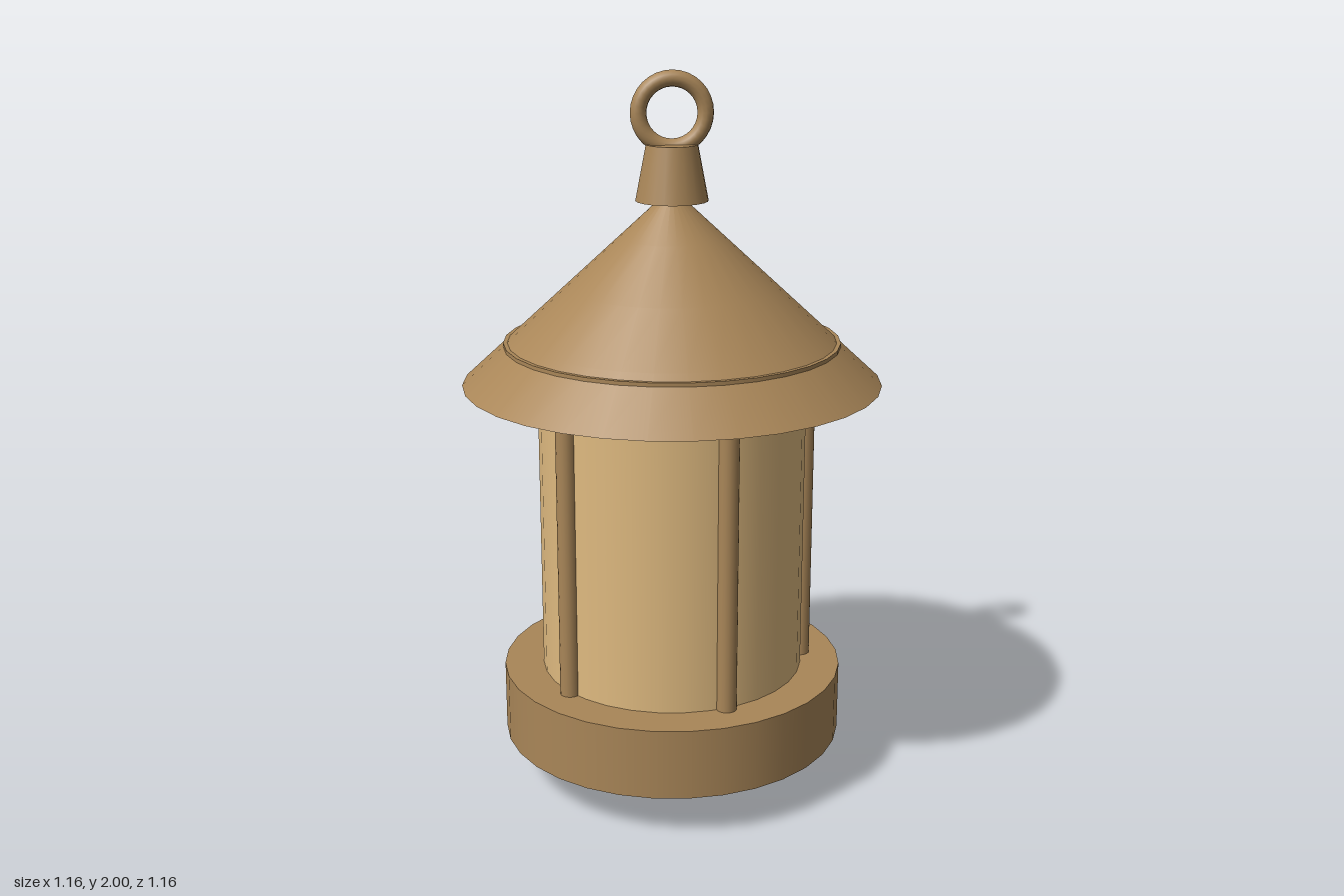
import * as THREE from 'three';

export function createModel() {
  const lantern = new THREE.Group();
  lantern.name = 'lantern';

  const brass = new THREE.MeshStandardMaterial({ name: 'aged brass', color: 0xa98658 });
  const glass = new THREE.MeshStandardMaterial({ name: 'amber glass', color: 0xdfba80 });

  const add = (name, geometry, material = brass) => {
    const mesh = new THREE.Mesh(geometry, material);
    mesh.name = name;
    lantern.add(mesh);
    return mesh;
  };

  // Round part standing between two heights
  const round = (name, bottomRadius, topRadius, y0, y1, sides = 32, material = brass) => {
    const mesh = add(name, new THREE.CylinderGeometry(topRadius, bottomRadius, y1 - y0, sides), material);
    mesh.position.y = (y0 + y1) / 2;
    return mesh;
  };

  // Lower body
  round('bottomFinial', 0.065, 0.095, 0, 0.13, 20);
  round('base', 0.483, 0.483, 0.125, 0.323);
  round('glassCylinder', 0.372, 0.372, 0.32, 1.14, 32, glass);

  // Five posts around the glass, the first on the left side
  for (let i = 0; i < 5; i++) {
    const angle = (i / 5) * Math.PI * 2;
    const post = round('post', 0.028, 0.028, 0.32, 1.14, 16);
    post.position.x = Math.cos(angle) * 0.375;
    post.position.z = Math.sin(angle) * 0.375;
  }

  // Roof: a band whose upper lip just breaks through the cone
  round('roofBand', 0.463, 0.463, 1.135, 1.272);
  const roof = add('roof', new THREE.ConeGeometry(0.578, 0.535, 32, 4));
  roof.position.y = 1.155 + 0.535 / 2;

  // Top cap and hanging ring
  round('roofCap', 0.099, 0.07, 1.655, 1.805, 20);
  const ring = add('hangingRing', new THREE.TorusGeometry(0.09, 0.022, 12, 32));
  ring.position.y = 1.888;

  return lantern;
}
